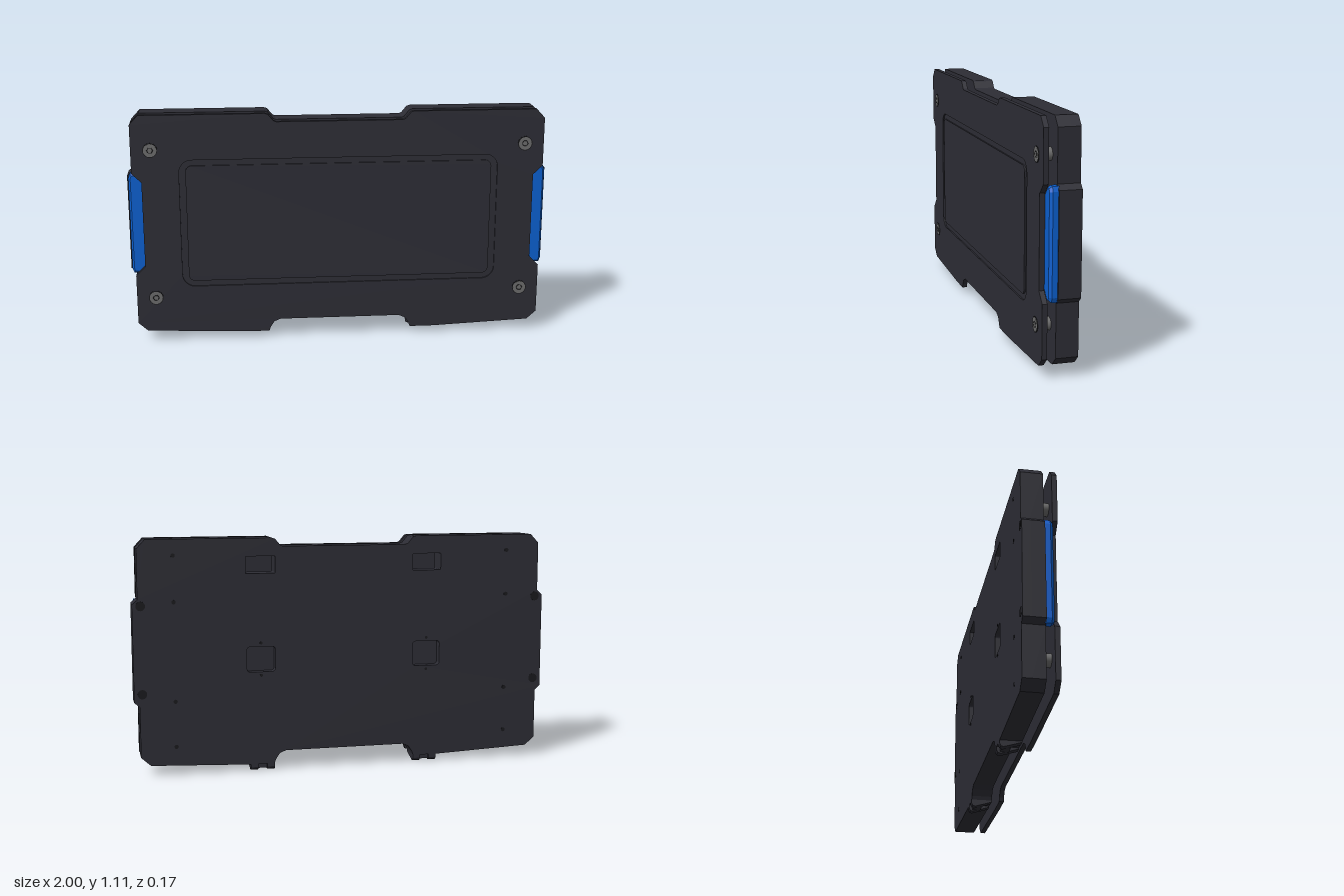
import * as THREE from 'three';

const paint = (name, color, extra = {}) => {
  const m = new THREE.MeshStandardMaterial({ color, ...extra });
  m.name = name;
  return m;
};

// Closed shape from points given for the +x half, mirrored to -x
function mirroredShape(half) {
  const other = half.slice().reverse().map(([x, y]) => [-x, y]);
  return polygon([...half, ...other]);
}
function polygon(pts) {
  return new THREE.Shape(pts.map(([x, y]) => new THREE.Vector2(x, y)));
}

// Rounded rectangle, usable as a shape or a hole
function roundRect(cx, cy, w, h, r) {
  const s = new THREE.Shape();
  const a = cx - w / 2, b = cx + w / 2, c = cy - h / 2, d = cy + h / 2;
  s.moveTo(a + r, c).lineTo(b - r, c);
  s.absarc(b - r, c + r, r, -Math.PI / 2, 0, false);
  s.absarc(b - r, d - r, r, 0, Math.PI / 2, false);
  s.absarc(a + r, d - r, r, Math.PI / 2, Math.PI, false);
  s.absarc(a + r, c + r, r, Math.PI, Math.PI * 1.5, false);
  s.closePath();
  return s;
}

// Case outline; side lists the points up the right-hand edge
function outline(side) {
  return mirroredShape([
    [0.29, 0.09], [0.32, 0.077], [0.338, 0.05], [0.345, 0.03], [0.46, 0.03],
    [0.93, 0.05], [0.975, 0.09], ...side, [0.975, 1.062], [0.935, 1.105],
    [0.35, 1.105], [0.335, 1.1], [0.31, 1.07], [0.298, 1.065],
  ]);
}

export function createModel() {
  const model = new THREE.Group();
  model.name = 'caseAssembly';
  const charcoal = paint('charcoal', 0x2d2d35);
  const blue = paint('blue', 0x0b60d0);
  const steel = paint('steel grey', 0x6c6c6c);
  const dark = paint('dark recess', 0x19191c);

  const add = (name, geo, mat, x = 0, y = 0, z = 0) => {
    const m = new THREE.Mesh(geo, mat);
    m.name = name;
    m.position.set(x, y, z);
    model.add(m);
    return m;
  };
  const slab = (name, shape, z0, z1, mat) =>
    add(name, new THREE.ExtrudeGeometry(shape, { depth: z1 - z0, bevelEnabled: false, curveSegments: 8 }), mat, 0, 0, z0);
  const disc = (name, r, depth, mat, x, y, z, sides = 24) =>
    add(name, new THREE.CylinderGeometry(r, r, depth, sides).rotateX(Math.PI / 2), mat, x, y, z);

  // Thick rear case: side bumps, two slots right through, two blind sockets
  const bump = [[0.975, 0.33], [1, 0.352], [1, 0.808], [0.975, 0.83]];
  const slots = [-1, 1].map(s => roundRect(s * 0.405, 0.98, 0.14, 0.08, 0.005));
  const sockets = [-1, 1].map(s => roundRect(s * 0.405, 0.535, 0.135, 0.12, 0.015));
  const rear = outline(bump), core = outline(bump);
  rear.holes.push(...slots, ...sockets);
  core.holes.push(...slots);
  slab('rearCaseBack', rear, -0.08, -0.04, charcoal);
  slab('rearCaseCore', core, -0.04, 0.02, charcoal);

  // Front plate, notched round the grips, with a shallow framed groove
  const notch = [[0.975, 0.33], [0.93, 0.375], [0.93, 0.787], [0.975, 0.83]];
  slab('frontPlateBase', outline(notch), 0.057, 0.073, charcoal);
  const face = outline(notch);
  face.holes.push(roundRect(0, 0.58, 1.51, 0.62, 0.06));
  slab('frontPlateFace', face, 0.073, 0.08, charcoal);
  slab('frontPanel', roundRect(0, 0.58, 1.45, 0.565, 0.03), 0.073, 0.08, charcoal);

  for (const s of [-1, 1]) {
    // Bevelled side grip
    const grip = polygon([[0.922, 0.385], [0.958, 0.346], [0.978, 0.346], [0.983, 0.36],
      [0.983, 0.8], [0.978, 0.814], [0.958, 0.814], [0.922, 0.775]].map(([x, y]) => [s * x, y]));
    add('sideGrip', new THREE.ExtrudeGeometry(grip, {
      depth: 0.028, bevelThickness: 0.012, bevelSize: 0.01, bevelSegments: 1,
    }), blue, 0, 0, 0.016);

    // Spacers and socket-head screws
    for (const y of [0.217, 0.94]) {
      disc('spacer', 0.029, 0.037, steel, s * 0.885, y, 0.0385);
      disc('screwRim', 0.035, 0.003, dark, s * 0.885, y, 0.0805);
      disc('screwHead', 0.031, 0.004, steel, s * 0.885, y, 0.081);
      add('screwSocketEdge', new THREE.TorusGeometry(0.014, 0.0015, 4, 6), dark, s * 0.885, y, 0.083);
    }

    // Small holes on the back
    for (const y of [0.135, 0.35, 0.815, 1.03]) disc('backHole', 0.01, 0.002, dark, s * 0.81, y, -0.0802, 12);
    for (const y of [0.39, 0.8]) disc('cornerHole', 0.022, 0.002, dark, s * 0.962, y, -0.0802, 16);
    for (const y of [0.458, 0.612]) disc('socketHole', 0.007, 0.002, dark, s * 0.405, y, -0.0802, 10);

    // Foot: two lugs joined by a shorter bar
    const lug = polygon([[0.02, 0.035], [0.02, 0.025], [-0.055, 0.002], [-0.064, 0],
      [-0.074, 0.004], [-0.08, 0.015], [-0.08, 0.035]]);
    for (const x of [0.362, 0.442]) {
      const g = new THREE.ExtrudeGeometry(lug, { depth: 0.036, bevelEnabled: false });
      g.rotateY(-Math.PI / 2).translate(0.018, 0, 0);
      add('footLug', g, charcoal, s * x, 0, 0);
    }
    add('footBar', new THREE.BoxGeometry(0.05, 0.026, 0.04), charcoal, s * 0.402, 0.02, -0.045);
  }
  return model;
}
